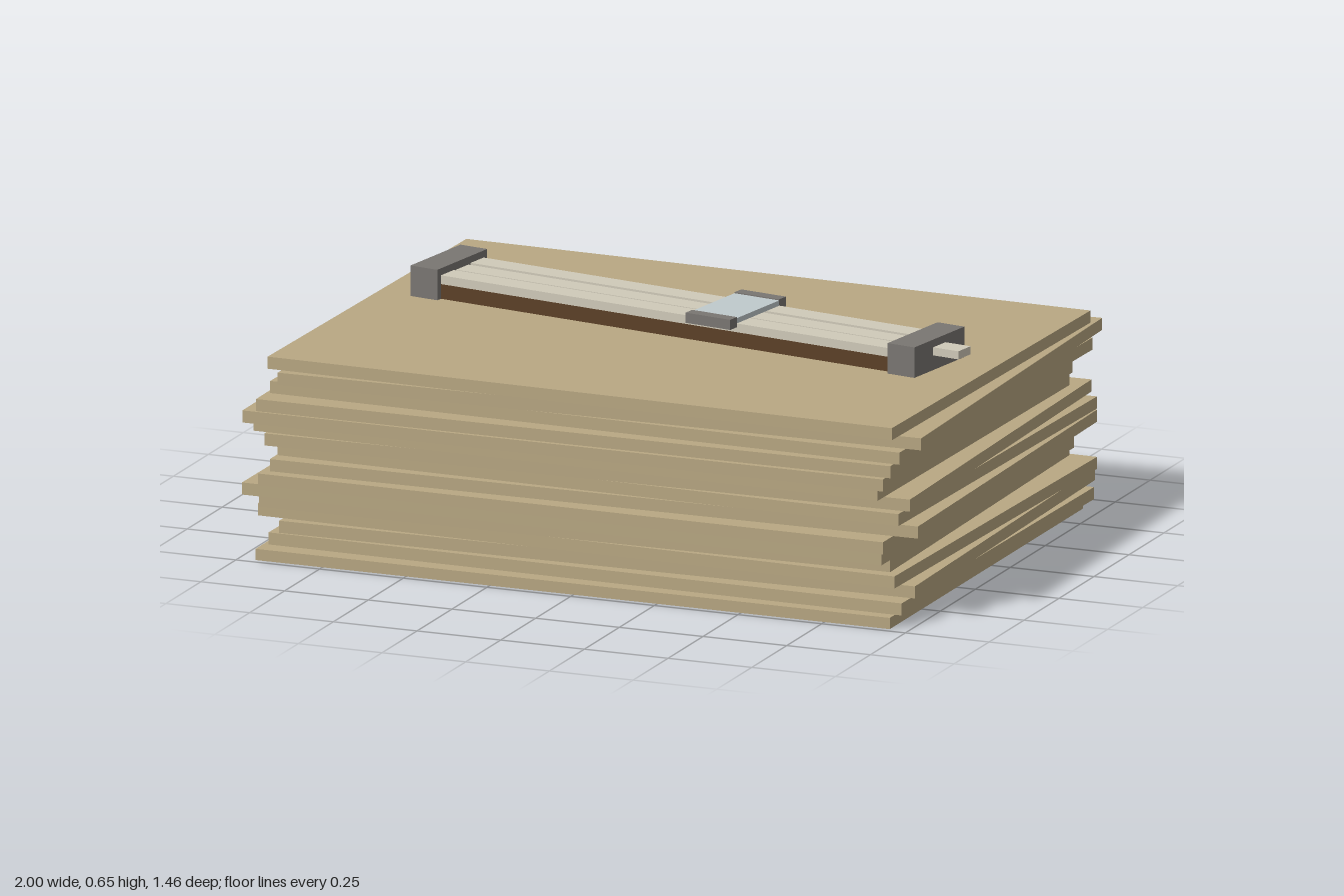
import * as THREE from 'three';

const mat = (color) => new THREE.MeshStandardMaterial({ color });
const SHEET = mat(0xb9a883), METAL = mat(0x7a7672), IVORY = mat(0xd0cab9), WOOD = mat(0x5c4026), GLASS = mat(0xc0cacc);

// Box given by its centre in x and z, and its bottom and top in y
function block(name, material, w, d, x, y0, y1, z) {
  const mesh = new THREE.Mesh(new THREE.BoxGeometry(w, y1 - y0, d), material);
  mesh.name = name;
  mesh.position.set(x, (y0 + y1) / 2, z);
  return mesh;
}

// Sheets from bottom to top: x min, x max, z min, z max, turn in radians
const SHEETS = [
  [-0.95, 0.945, -0.65, 0.73, 0],
  [-0.93, 0.985, -0.655, 0.705, -0.011],
  [-0.925, 0.985, -0.70, 0.68, 0.0185],
  [-0.975, 0.97, -0.73, 0.69, -0.02],
  [-0.98, 0.915, -0.68, 0.685, 0.016],
  [-1.0, 0.925, -0.65, 0.72, -0.007],
  [-0.945, 0.93, -0.65, 0.73, -0.004],
  [-0.945, 1.0, -0.67, 0.69, 0.016],
  [-0.92, 0.975, -0.715, 0.68, -0.0187],
  [-0.97, 0.97, -0.72, 0.685, 0.0205],
  [-0.98, 0.91, -0.66, 0.695, -0.012],
  [-0.995, 0.92, -0.645, 0.725, 0.003],
  [-0.965, 0.935, -0.66, 0.72, 0.0095],
  [-0.94, 0.975, -0.68, 0.68, -0.0165],
  [-0.935, 1.0, -0.73, 0.68, 0.0225],
  [-0.945, 0.96, -0.705, 0.69, -0.0187],
];
const PITCH = 0.0352;

function sheetStack() {
  const stack = new THREE.Group();
  stack.name = 'sheetStack';
  SHEETS.forEach(([x0, x1, z0, z1, turn], i) => {
    // Undo the growth of the extents caused by the turn
    const s = Math.abs(Math.sin(turn));
    const w = x1 - x0 - 1.36 * s, d = z1 - z0 - 1.88 * s;
    const y = i * PITCH;
    const sheet = block('sheet', SHEET, w, d, (x0 + x1) / 2, y, y + (i ? 0.0345 : 0.032), (z0 + z1) / 2);
    sheet.rotation.y = turn;
    stack.add(sheet);
  });
  return stack;
}

// Slide rule, lying along x with its underside at y = 0
function slideRule() {
  const rule = new THREE.Group();
  rule.name = 'slideRule';
  rule.add(block('woodBase', WOOD, 1.5, 0.222, 0, 0, 0.042, 0));
  for (const s of [-1, 1]) {
    rule.add(block('fixedScale', IVORY, 1.5, 0.067, 0, 0.042, 0.067, s * 0.0775));
    rule.add(block('endCap', METAL, 0.087, 0.26, s * 0.775, 0, 0.087, 0));
  }
  // Middle strip, pulled out past the end cap
  rule.add(block('slidingScale', IVORY, 1.64, 0.064, 0.08, 0.042, 0.065, 0));

  // Cursor: two side bars carrying the window
  const cursor = new THREE.Group();
  cursor.name = 'cursor';
  cursor.position.x = 0.157;
  for (const s of [-1, 1]) cursor.add(block('cursorBar', METAL, 0.145, 0.035, 0, 0.056, 0.085, s * 0.1275));
  cursor.add(block('cursorWindow', GLASS, 0.145, 0.22, 0, 0.067, 0.082, 0));
  rule.add(cursor);
  return rule;
}

export function createModel() {
  const model = new THREE.Group();
  model.name = 'sheetsWithSlideRule';
  const rule = slideRule();
  rule.position.set(0, 15 * PITCH + 0.0345, -0.085);
  rule.rotation.y = -0.162;
  model.add(sheetStack(), rule);
  return model;
}
